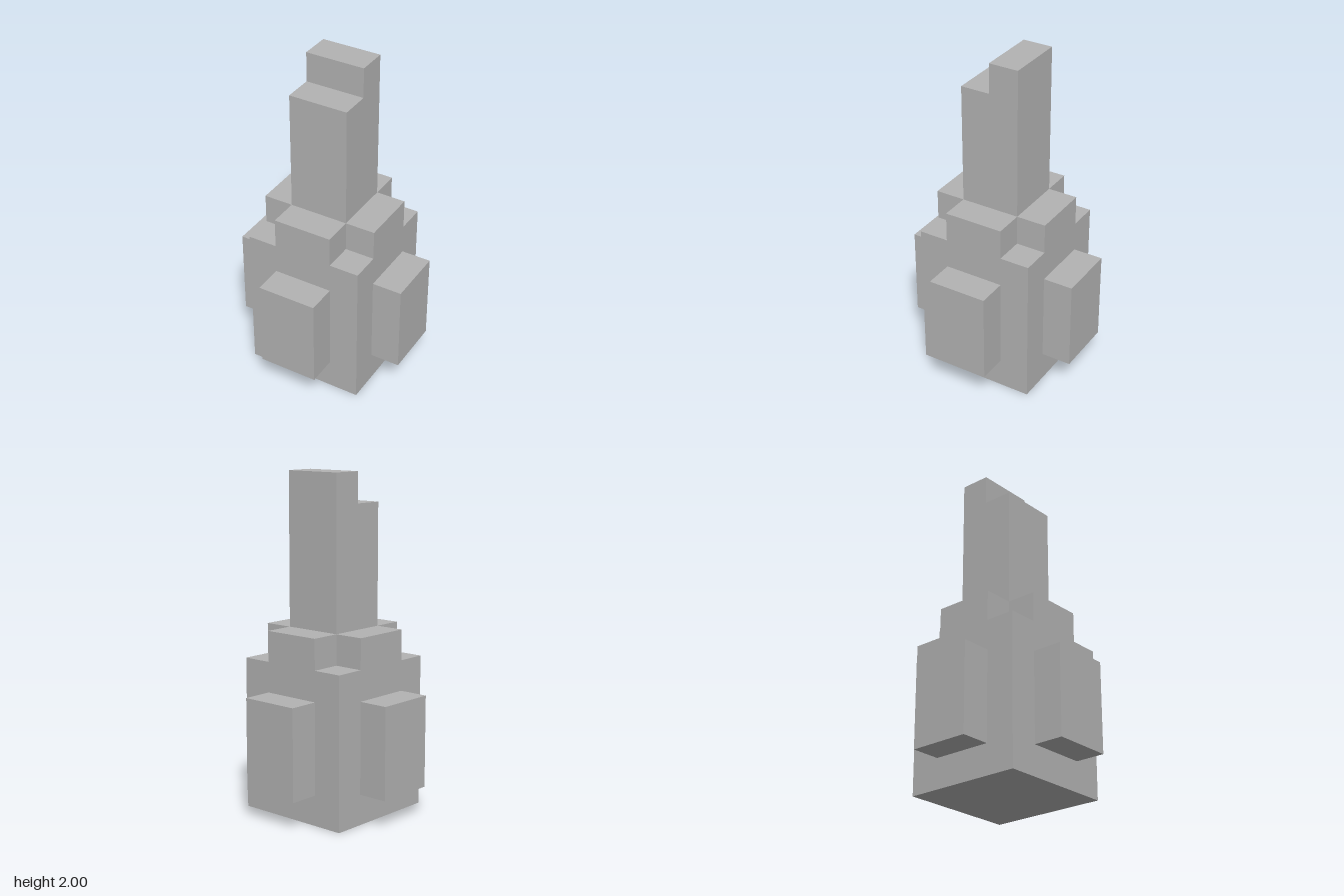
import * as THREE from 'three';

const U = 2 / 11; // one grid step; every part is a whole number of steps

function extrude(points, depth) {
  const shape = new THREE.Shape(points.map(([x, y]) => new THREE.Vector2(x * U, y * U)));
  return new THREE.ExtrudeGeometry(shape, { depth: depth * U, bevelEnabled: false });
}

export function createModel() {
  const model = new THREE.Group();
  model.name = 'blockTower';
  const stone = new THREE.MeshStandardMaterial({ color: 0xb3b3b3 });
  stone.name = 'grey stone';

  const add = (name, geometry) => {
    const mesh = new THREE.Mesh(geometry, stone);
    mesh.name = name;
    model.add(mesh);
    return mesh;
  };

  // Square base block
  add('base', new THREE.BoxGeometry(4 * U, 5 * U, 4 * U)).position.y = 2.5 * U;

  // Raised panel on each of the four sides
  ['frontPanel', 'leftPanel', 'backPanel', 'rightPanel'].forEach((name, i) => {
    const geometry = new THREE.BoxGeometry(2 * U, 3 * U, U);
    geometry.translate(0, 2.5 * U, 2.5 * U);
    add(name, geometry).rotation.y = i * Math.PI / 2;
  });

  // Cross-shaped collar, notched at the corners
  const cross = [
    [-1, -2], [1, -2], [1, -1], [2, -1], [2, 1], [1, 1],
    [1, 2], [-1, 2], [-1, 1], [-2, 1], [-2, -1], [-1, -1],
  ];
  add('collar', extrude(cross, 1).rotateX(-Math.PI / 2)).position.y = 5 * U;

  // Shaft with a stepped top, higher at the back
  const profile = [[-1, 6], [1, 6], [1, 10], [0, 10], [0, 11], [-1, 11]];
  add('shaft', extrude(profile, 2).rotateY(-Math.PI / 2)).position.x = U;

  return model;
}
